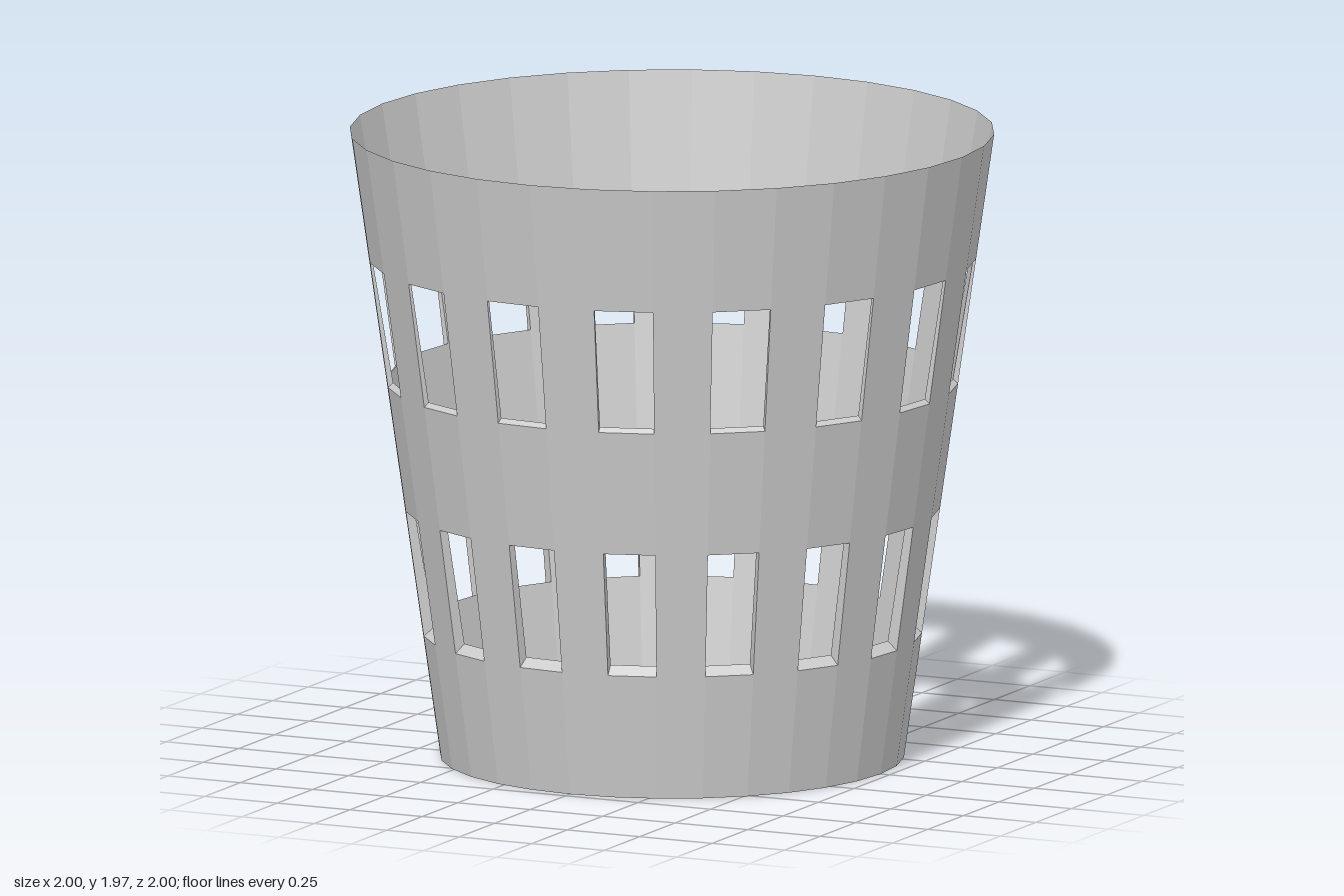
import * as THREE from 'three';

const SIDES = 32, BANDS = 5;
const HEIGHT = 1.97, FLOOR = 0.035;
const TOP_R = 1, BASE_R = 0.72, FLOOR_R = 0.68;

const material = new THREE.MeshStandardMaterial({ color: 0xcccccc, flatShading: true });

// Points on the outer and inner cones; they meet in a sharp edge at the rim
function conePoint(column, level, r0, y0) {
  const a = (column / SIDES) * Math.PI * 2, t = level / BANDS;
  const r = r0 + (TOP_R - r0) * t;
  return [r * Math.sin(a), y0 + (HEIGHT - y0) * t, r * Math.cos(a)];
}
const outer = (c, l) => conePoint(c, l, BASE_R, 0);
const inner = (c, l) => conePoint(c, l, FLOOR_R, FLOOR);

function quadMesh(name, quads) {
  const positions = quads.flatMap(([a, b, c, d]) => [a, b, c, a, c, d].flat());
  const geometry = new THREE.BufferGeometry();
  geometry.setAttribute('position', new THREE.Float32BufferAttribute(positions, 3));
  geometry.computeVertexNormals();
  const mesh = new THREE.Mesh(geometry, material);
  mesh.name = name;
  return mesh;
}

function disc(name, radius, y, tilt) {
  const geometry = new THREE.CircleGeometry(radius, SIDES).rotateX(tilt).translate(0, y, 0);
  const mesh = new THREE.Mesh(geometry, material);
  mesh.name = name;
  return mesh;
}

export function createModel() {
  const outside = [], inside = [], frames = [];

  for (let c = 0; c < SIDES; c++) {
    for (let l = 0; l < BANDS; l++) {
      const d = c + 1, m = l + 1;
      const o = [outer(c, l), outer(d, l), outer(d, m), outer(c, m)];
      const i = [inner(c, l), inner(d, l), inner(d, m), inner(c, m)];
      if (c % 2 === 1 && l % 2 === 1) {
        // Opening: sill, two jambs and lintel join the outer and inner walls
        for (let k = 0; k < 4; k++) {
          const n = (k + 1) % 4;
          frames.push([o[k], o[n], i[n], i[k]]);
        }
      } else {
        outside.push(o);
        inside.push([...i].reverse());
      }
    }
  }

  const basket = new THREE.Group();
  basket.name = 'basket';
  basket.add(
    quadMesh('outerWall', outside),
    quadMesh('innerWall', inside),
    quadMesh('openingFrames', frames),
    disc('floor', FLOOR_R, FLOOR, -Math.PI / 2),
    disc('base', BASE_R, 0, Math.PI / 2)
  );
  return basket;
}
